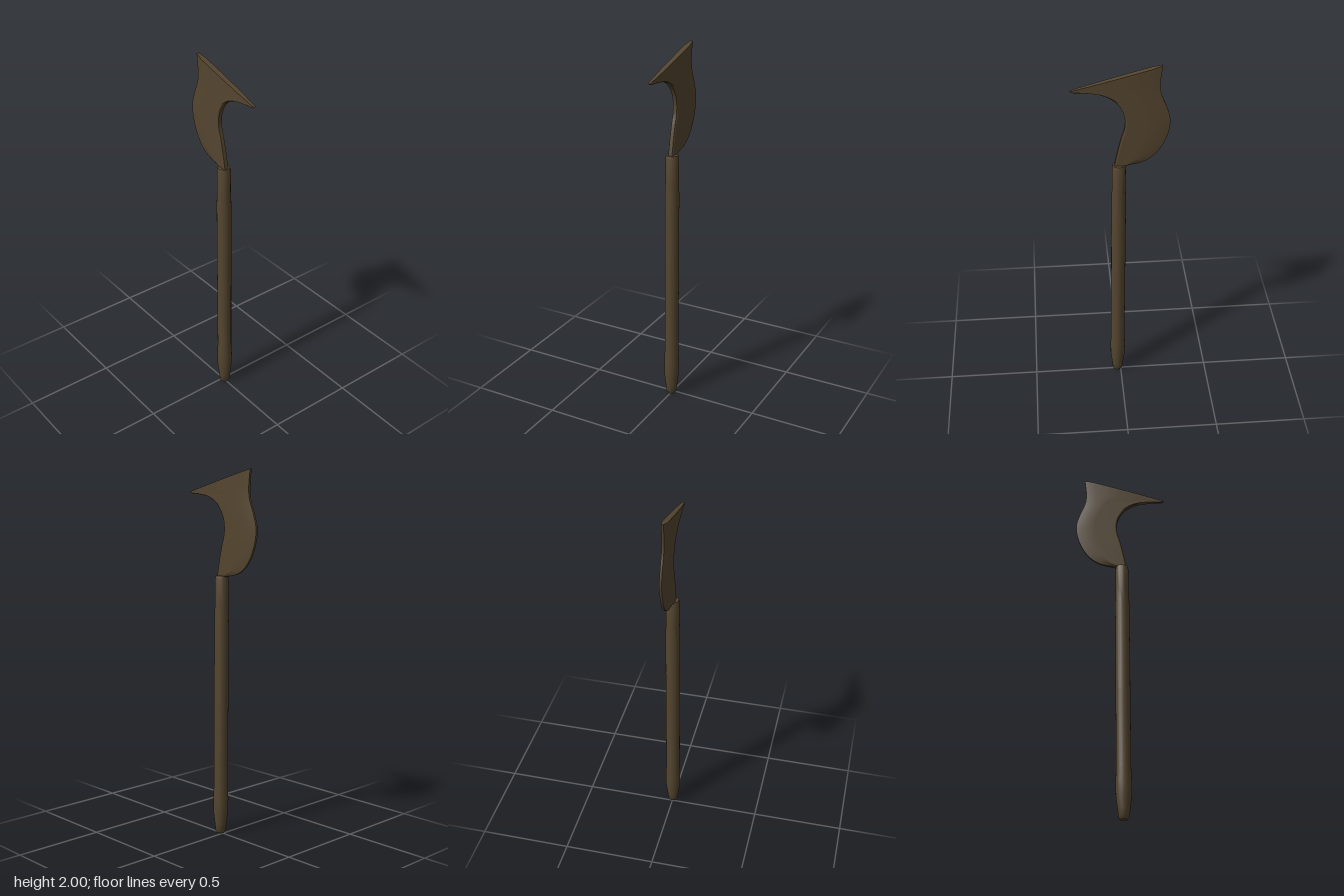
import * as THREE from 'three';
import { toCreasedNormals } from 'three/addons/utils/BufferGeometryUtils.js';

const curve = (pts) => new THREE.CatmullRomCurve3(pts.map(([x, y]) => new THREE.Vector3(x, y, 0)), false, 'centripetal');

// Blade: flat cross-sections swept between the cutting edge and the hooked inner edge
function bladeGeometry() {
  const outer = curve([[-0.026, 1.435], [-0.12, 1.458], [-0.185, 1.508], [-0.233, 1.595], [-0.251, 1.69],
    [-0.233, 1.765], [-0.204, 1.84], [-0.197, 1.88], [-0.197, 1.92], [-0.206, 2.0]]);
  const inner = curve([[0.032, 1.437], [0.018, 1.51], [-0.003, 1.6], [-0.018, 1.65], [-0.022, 1.7],
    [-0.01, 1.755], [0.026, 1.81], [0.09, 1.85], [0.18, 1.866], [0.25, 1.869]]);
  const rows = 36;
  const pos = [];
  const index = [];
  // thins toward the hook's tip
  const half = (x) => 0.015 - 0.008 * THREE.MathUtils.smoothstep(x, 0.04, 0.27);
  const cols = 6;
  const ring = cols * 2;
  for (let i = 0; i <= rows; i++) {
    const a = outer.getPoint(i / rows);
    const b = inner.getPoint(i / rows);
    if (i === rows) b.y = 1.878;
    const w = a.distanceTo(b);
    const bevel = Math.min(0.05 / w, 0.3);
    const lip = 1 - Math.min(0.008 / w, 0.1);
    const section = [0, bevel, 0.45, 0.7, lip, 1].map((u, k) => {
      const p = a.clone().lerp(b, u);
      p.z = k === 0 ? 0.006 : half(p.x) * (k === cols - 1 ? 0.7 : 1);
      return p;
    });
    section.forEach((p) => pos.push(p.x, p.y, p.z));
    section.reverse().forEach((p) => pos.push(p.x, p.y, -p.z));
  }
  const quad = (a, b, c, d) => index.push(a, b, c, a, c, d);
  for (let i = 0; i < rows; i++) {
    for (let k = 0; k < ring; k++) {
      const n = (k + 1) % ring;
      quad(i * ring + k, i * ring + n, (i + 1) * ring + n, (i + 1) * ring + k);
    }
  }
  // end caps
  const top = rows * ring;
  for (let k = 0; k < cols - 1; k++) {
    const m = ring - 1 - k;
    quad(top + k, top + k + 1, top + m - 1, top + m);
    quad(k, m, m - 1, k + 1);
  }
  const g = new THREE.BufferGeometry();
  g.setAttribute('position', new THREE.Float32BufferAttribute(pos, 3));
  g.setIndex(index);
  return toCreasedNormals(g, 0.2);
}

// Handle: turned profile leaning very slightly toward -x at the top
function handleGeometry() {
  const profile = [[0, 0], [0.02, 0.002], [0.028, 0.014], [0.033, 0.06], [0.041, 0.125], [0.042, 0.2], [0.039, 0.27],
    [0.039, 0.7], [0.039, 1.22], [0.036, 1.29], [0.036, 1.425], [0.032, 1.44], [0, 1.442]];
  const g = new THREE.LatheGeometry(profile.map(([r, y]) => new THREE.Vector2(r, y)), 20);
  const p = g.attributes.position;
  for (let i = 0; i < p.count; i++) p.setX(i, p.getX(i) + 0.018 - 0.0065 * p.getY(i));
  return toCreasedNormals(g, 0.6);
}

export function createModel() {
  const darkBrown = new THREE.MeshStandardMaterial({ color: 0x54452f });
  darkBrown.name = 'darkBrown';
  const group = new THREE.Group();
  group.name = 'billhook';
  const add = (name, geometry) => {
    const mesh = new THREE.Mesh(geometry, darkBrown);
    mesh.name = name;
    group.add(mesh);
  };
  add('blade', bladeGeometry());
  add('handle', handleGeometry());
  return group;
}
